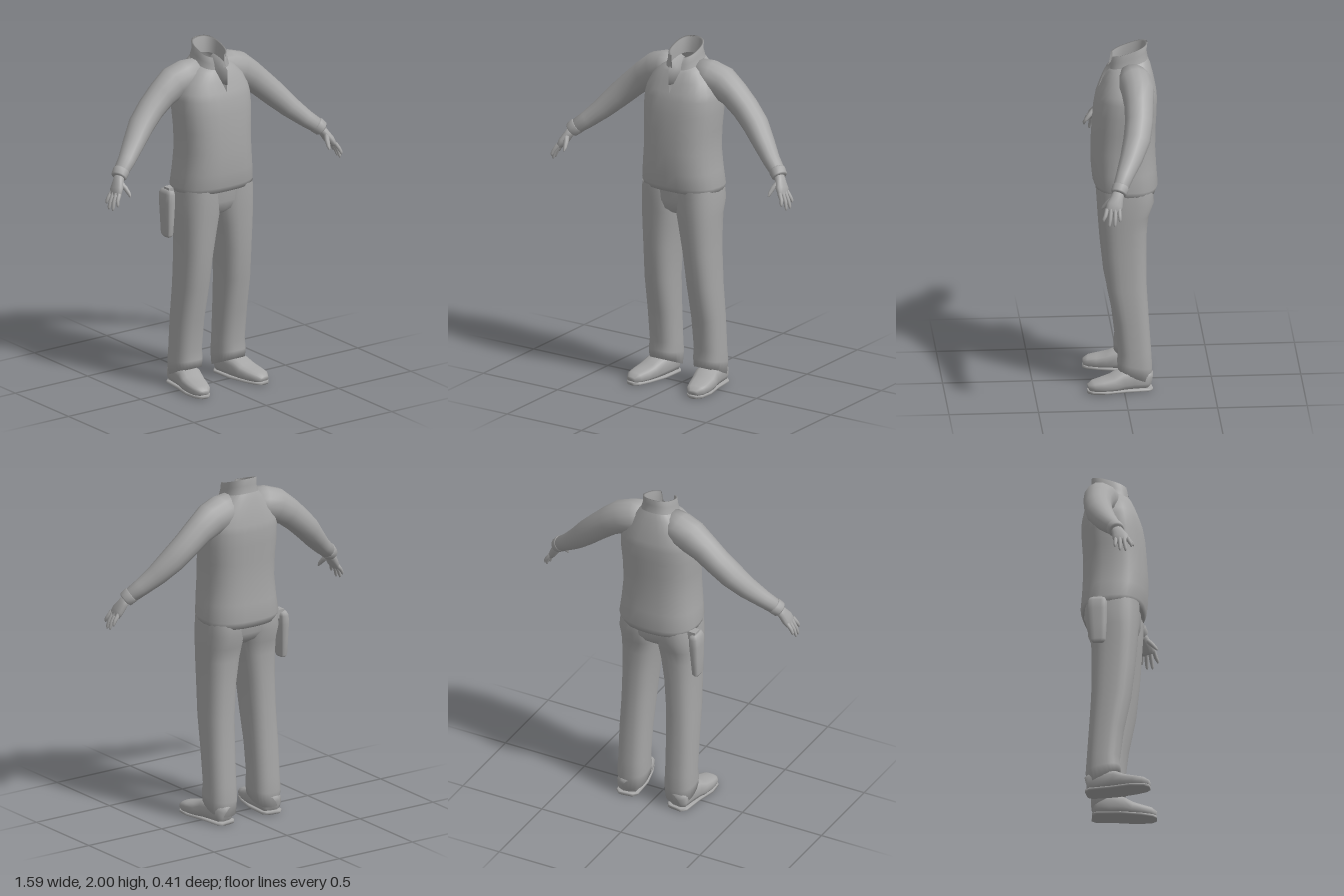
import * as THREE from 'three';
import { mergeVertices } from 'three/addons/utils/BufferGeometryUtils.js';

const grey = new THREE.MeshStandardMaterial({ color: 0xa6a6a6, side: THREE.DoubleSide });
grey.name = 'plain grey';

// Rounded (power < 1 = squarer) unit curve
const pow = (v, p) => Math.sign(v) * Math.pow(Math.abs(v), p);

// Skin a list of point rings; s = -1 mirrors the result in x
function loft(rings, s = 1) {
  const n = rings[0].length, pos = [], idx = [];
  rings.forEach(r => r.forEach(p => pos.push(p.x * s, p.y, p.z)));
  for (let i = 0; i < rings.length - 1; i++) {
    for (let j = 0; j < n - 1; j++) {
      const a = i * n + j, b = a + 1, c = b + n, d = a + n;
      if (s > 0) idx.push(a, b, c, a, c, d);
      else idx.push(a, c, b, a, d, c);
    }
  }
  let g = new THREE.BufferGeometry();
  g.setAttribute('position', new THREE.Float32BufferAttribute(pos, 3));
  g.setIndex(idx);
  g = mergeVertices(g, 1e-5);
  g.computeVertexNormals();
  return g;
}

// Level ring [y, x0, x1, zBack, zFront, tilt, slit]; slit opens it at the front
function ring([y, x0, x1, z0, z1, tilt = 0, slit = 0], p = 0.8, n = 28) {
  const pts = [], cx = (x0 + x1) / 2, cz = (z0 + z1) / 2;
  for (let j = 0; j <= n; j++) {
    const a = slit + (j / n) * (2 * Math.PI - 2 * slit);
    const sn = j === n && !slit ? 0 : Math.sin(a);
    const x = cx + (x1 - x0) / 2 * pow(sn, p);
    const z = cz + (z1 - z0) / 2 * pow(Math.cos(a), p);
    pts.push(new THREE.Vector3(x, y + tilt * z, z));
  }
  return pts;
}

// Capped limb through stations [x, y, z, radius along ref, radius across]
function limb(st, s = 1, ref = new THREE.Vector3(0, 0, 1), p = 1, n = 14) {
  const c = st.map(q => new THREE.Vector3(q[0], q[1], q[2]));
  const rings = st.map((q, i) => {
    const t = c[Math.min(i + 1, c.length - 1)].clone().sub(c[Math.max(i - 1, 0)]).normalize();
    const u = ref.clone().addScaledVector(t, -ref.dot(t)).normalize();
    const v = t.clone().cross(u);
    return Array.from({ length: n + 1 }, (_, j) => {
      const a = (j % n) / n * 2 * Math.PI;
      return c[i].clone().addScaledVector(u, q[3] * pow(Math.cos(a), p))
        .addScaledVector(v, q[4] * pow(Math.sin(a), p));
    });
  });
  const cap = k => Array.from({ length: n + 1 }, () => c[k].clone());
  return loft([cap(0), ...rings, cap(c.length - 1)], s);
}

export function createModel() {
  const model = new THREE.Group();
  model.name = 'clothedFigure';
  const add = (name, geo) => {
    const m = new THREE.Mesh(geo, grey);
    m.name = name;
    model.add(m);
  };

  // Shirt with turned-under hem, open neckline and standing collar
  const sym = (y, rx, z0, z1, tilt, slit) => ring([y, -rx, rx, z0, z1, tilt, slit]);
  add('shirt', loft([
    sym(1.165, 0.19, -0.13, 0.11, 0.05),
    sym(1.155, 0.228, -0.185, 0.15, 0.08),
    sym(1.19, 0.238, -0.2, 0.163, 0.05),
    sym(1.28, 0.227, -0.192, 0.172),
    sym(1.4, 0.216, -0.186, 0.174),
    sym(1.52, 0.22, -0.188, 0.166),
    sym(1.62, 0.228, -0.194, 0.158),
    sym(1.70, 0.226, -0.195, 0.144),
    sym(1.74, 0.218, -0.19, 0.13),
    sym(1.80, 0.19, -0.178, 0.108, 0, 0.06),
    sym(1.86, 0.135, -0.16, 0.085, -0.1, 0.2),
    sym(1.885, 0.092, -0.14, 0.07, -0.28, 0.33),
  ]));
  add('collar', loft([
    sym(1.875, 0.1, -0.145, 0.075, -0.28, 0.3),
    sym(1.915, 0.088, -0.138, 0.07, -0.32, 0.36),
    sym(1.952, 0.086, -0.143, 0.066, -0.34, 0.45),
    sym(1.95, 0.077, -0.132, 0.056, -0.34, 0.47),
    sym(1.87, 0.078, -0.125, 0.056, -0.28, 0.36),
  ]));

  // Trouser seat, tucked under the shirt
  add('trouserSeat', loft([
    ring([1.02, -0.06, 0.06, -0.09, 0.08]),
    ring([1.05, -0.14, 0.14, -0.135, 0.115]),
    ring([1.1, -0.215, 0.215, -0.17, 0.13]),
    ring([1.19, -0.218, 0.218, -0.17, 0.135]),
  ]));

  const up = new THREE.Vector3(0, 1, 0);
  for (const s of [1, -1]) {
    const side = s > 0 ? 'left' : 'right';

    // Trouser leg with a hem that drops toward the heel
    add(side + 'TrouserLeg', loft([
      [0.13, 0.09, 0.205, -0.13, 0.0, 0.4],
      [0.108, 0.066, 0.232, -0.155, 0.034, 0.42],
      [0.16, 0.06, 0.238, -0.16, 0.036, 0.2],
      [0.22, 0.063, 0.233, -0.154, 0.03],
      [0.4, 0.06, 0.234, -0.142, 0.052],
      [0.6, 0.053, 0.23, -0.13, 0.093],
      [0.8, 0.037, 0.227, -0.128, 0.115],
      [0.94, 0.015, 0.23, -0.132, 0.126],
      [1.02, 0.0, 0.232, -0.142, 0.131],
      [1.1, -0.01, 0.234, -0.172, 0.137],
      [1.18, -0.01, 0.228, -0.165, 0.138],
    ].map(r => ring(r)), s));

    // Shoe with a separate flat sole
    add(side + 'Shoe', limb([
      [0.155, 0.06, -0.15, 0.045, 0.04], [0.158, 0.065, -0.13, 0.06, 0.062],
      [0.165, 0.068, -0.05, 0.063, 0.068], [0.172, 0.064, 0.01, 0.059, 0.072],
      [0.185, 0.05, 0.06, 0.045, 0.072], [0.196, 0.042, 0.12, 0.037, 0.066],
      [0.204, 0.037, 0.17, 0.031, 0.054], [0.208, 0.03, 0.2, 0.019, 0.03],
    ], s, up, 0.75));
    add(side + 'Sole', limb([
      [0.155, 0.01, -0.155, 0.01, 0.045], [0.158, 0.01, -0.13, 0.01, 0.066],
      [0.17, 0.01, 0, 0.01, 0.07], [0.196, 0.01, 0.11, 0.01, 0.068],
      [0.206, 0.01, 0.18, 0.01, 0.05], [0.208, 0.01, 0.205, 0.01, 0.025],
    ], s, up, 0.5));

    // Sleeve and cuff
    add(side + 'Sleeve', limb([
      [0.07, 1.825, -0.05, 0.085, 0.085], [0.14, 1.808, -0.065, 0.095, 0.1],
      [0.22, 1.785, -0.075, 0.092, 0.097], [0.3, 1.733, -0.075, 0.082, 0.083],
      [0.38, 1.665, -0.07, 0.078, 0.076], [0.46, 1.59, -0.052, 0.076, 0.071],
      [0.54, 1.508, -0.015, 0.064, 0.06], [0.62, 1.435, 0.028, 0.05, 0.049],
      [0.69, 1.38, 0.06, 0.042, 0.042],
    ], s));
    add(side + 'Cuff', limb([
      [0.668, 1.4, 0.05, 0.041, 0.041], [0.674, 1.394, 0.053, 0.048, 0.047],
      [0.7, 1.37, 0.066, 0.046, 0.043], [0.704, 1.366, 0.068, 0.036, 0.034],
    ], s));

    // Hand: palm, four fingers and thumb
    add(side + 'Palm', limb([
      [0.69, 1.38, 0.062, 0.03, 0.026], [0.712, 1.345, 0.076, 0.036, 0.025],
      [0.733, 1.31, 0.09, 0.046, 0.024], [0.748, 1.28, 0.1, 0.044, 0.018],
      [0.752, 1.272, 0.102, 0.03, 0.01],
    ], s, undefined, 0.9));
    [[0.745, 0.135, 0.772, 1.228, 0.155], [0.75, 0.113, 0.783, 1.2, 0.124],
      [0.75, 0.09, 0.787, 1.202, 0.093], [0.747, 0.067, 0.782, 1.228, 0.064],
    ].forEach(([bx, bz, tx, ty, tz], i) => add(side + 'Finger' + (i + 1), limb([
      [bx, 1.292, bz, 0.012, 0.013],
      [(bx + tx) / 2 + 0.008, (1.29 + ty) / 2, (bz + tz) / 2, 0.011, 0.011],
      [tx, ty + 0.012, tz, 0.009, 0.009], [tx + 0.002, ty, tz, 0.004, 0.004],
    ], s, undefined, 1, 8)));
    add(side + 'Thumb', limb([
      [0.712, 1.345, 0.095, 0.015, 0.016], [0.697, 1.315, 0.125, 0.014, 0.014],
      [0.69, 1.288, 0.148, 0.011, 0.011], [0.689, 1.272, 0.16, 0.005, 0.005],
    ], s, undefined, 1, 8));
  }

  // Pouch hanging from the right hip
  add('hipPouch', limb([
    [-0.258, 0.89, -0.08, 0.03, 0.014], [-0.26, 0.905, -0.08, 0.043, 0.021],
    [-0.258, 1.0, -0.082, 0.05, 0.025], [-0.256, 1.09, -0.085, 0.055, 0.029],
    [-0.255, 1.14, -0.085, 0.055, 0.028], [-0.25, 1.16, -0.085, 0.045, 0.02],
  ], 1, undefined, 0.6));
  const strap = new THREE.BoxGeometry(0.05, 0.05, 0.05);
  strap.translate(-0.235, 1.15, -0.085);
  add('pouchStrap', strap);

  return model;
}
